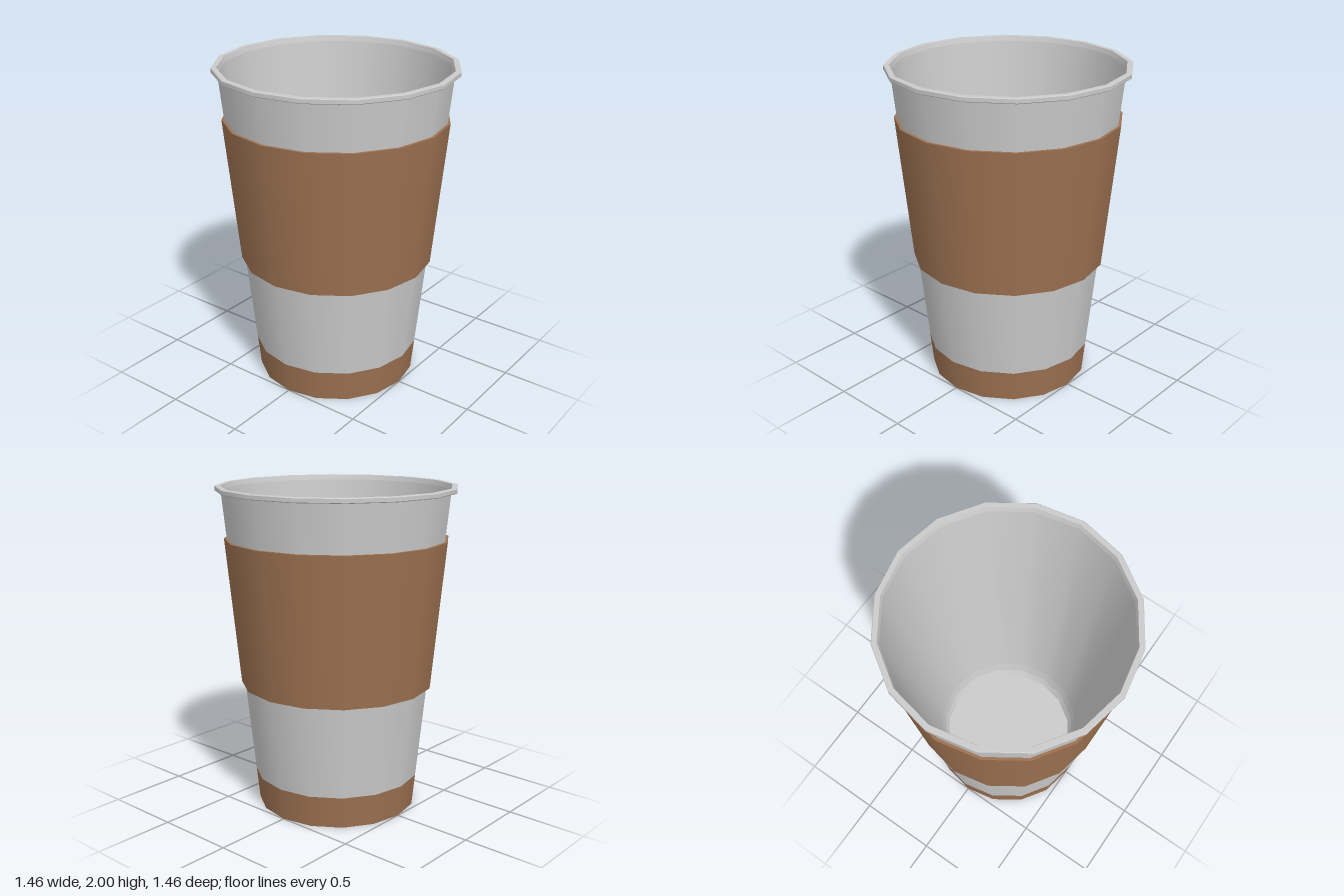
import * as THREE from 'three';
import { mergeGeometries } from 'three/addons/utils/BufferGeometryUtils.js';

const SIDES = 16;
const grey = new THREE.MeshStandardMaterial({ color: 0xcccccc });
const brown = new THREE.MeshStandardMaterial({ color: 0x9d7251 });

// Turned part: smooth around the axis, sharp at each profile corner.
// Outer surfaces run upwards, inner surfaces downwards.
function turned(name, profile, material) {
  const bands = [];
  for (let i = 0; i < profile.length - 1; i++) {
    const pair = [profile[i], profile[i + 1]].map(([r, y]) => new THREE.Vector2(r, y));
    const band = new THREE.LatheGeometry(pair, SIDES);
    band.normalizeNormals(); // even shading on long and short bands
    bands.push(band);
  }
  const mesh = new THREE.Mesh(mergeGeometries(bands), material);
  mesh.name = name;
  return mesh;
}

// Radius of the tapering outer wall at height y
const wall = (y) => 0.5 + 0.0985 * y;

export function createModel() {
  const cup = new THREE.Group();
  cup.name = 'paperCup';

  // Coloured foot band, flush with the wall
  cup.add(turned('baseBand', [[wall(0), 0], [wall(0.2), 0.2]], brown));

  // Plain outer wall above the band
  cup.add(turned('outerWall', [[wall(0.2), 0.2], [wall(1.97), 1.97]], grey));

  // Foot ring and recessed underside
  cup.add(turned('underside', [[0, 0.05], [0.46, 0.05], [0.465, 0], [wall(0), 0]], grey));

  // Lip with small bevels
  cup.add(turned('rim', [
    [wall(1.97), 1.97], [0.726, 1.97], [0.73, 1.974],
    [0.73, 1.996], [0.726, 2], [0.697, 2],
  ], grey));

  // Inside wall, kept within the outer wall, easing into the floor
  cup.add(turned('interior', [
    [0.697, 2], [0.688, 1.97], [0.472, 0.2], [0.455, 0.12], [0.433, 0.07], [0, 0.07],
  ], grey));

  // Cardboard sleeve standing proud of the wall
  cup.add(turned('sleeve', [
    [wall(0.783), 0.783], [0.598, 0.783], [0.683, 1.687], [wall(1.687), 1.687],
  ], brown));

  return cup;
}
